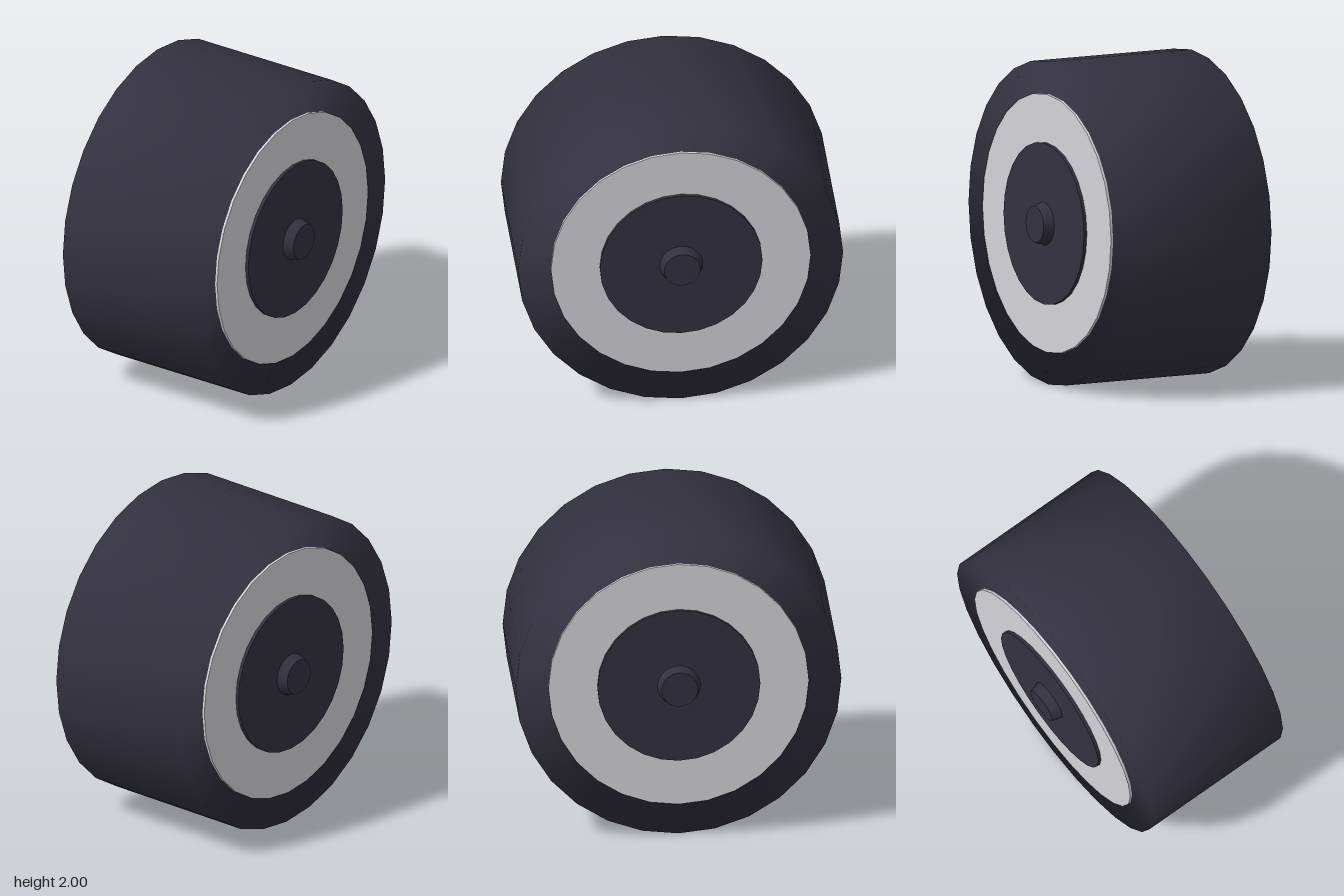
import * as THREE from 'three';

const SIDES = 28;

export function createModel() {
  const group = new THREE.Group();
  const rubber = new THREE.MeshStandardMaterial({ color: 0x33313f });
  rubber.name = 'darkRubber';
  const white = new THREE.MeshStandardMaterial({ color: 0xd4d3d8 });
  white.name = 'paleWall';

  // Tyre: tread and sidewalls, shaded softly across the shoulder
  const profile = [[0.7, -0.5], [1, -0.5], [1, 0.5], [0.7, 0.5]].map(([r, y]) => new THREE.Vector2(r, y));
  const tyreGeo = new THREE.LatheGeometry(profile, SIDES);
  const pos = tyreGeo.attributes.position;
  const n = new THREE.Vector3();
  for (let i = 0; i < pos.count; i++) {
    n.set(pos.getX(i), 0, pos.getZ(i)).normalize();
    n.y = 0.4 * Math.sign(pos.getY(i));
    n.normalize();
    tyreGeo.attributes.normal.setXYZ(i, n.x, n.y, n.z);
  }
  tyreGeo.rotateZ(-Math.PI / 2);
  const tyre = new THREE.Mesh(tyreGeo, rubber);
  tyre.name = 'tyre';
  tyre.position.y = 1;
  group.add(tyre);

  // Stacked discs on each side, stepping outward to the axle cap
  const addDisc = (parent, name, rInner, rOuter, x0, x1, material) => {
    const geo = new THREE.CylinderGeometry(rOuter, rInner, x1 - x0, SIDES);
    geo.rotateZ(-Math.PI / 2);
    const mesh = new THREE.Mesh(geo, material);
    mesh.name = name;
    mesh.position.x = (x0 + x1) / 2;
    parent.add(mesh);
  };
  for (const side of ['left', 'right']) {
    const face = new THREE.Group();
    face.name = side + 'WheelFace';
    face.position.y = 1;
    if (side === 'right') face.rotation.y = Math.PI;
    addDisc(face, 'whiteWall', 0.8, 0.8, 0.48, 0.515, white);
    addDisc(face, 'hubPlate', 0.5, 0.5, 0.49, 0.536, rubber);
    addDisc(face, 'axleCap', 0.134, 0.112, 0.53, 0.6, rubber);
    group.add(face);
  }
  return group;
}
